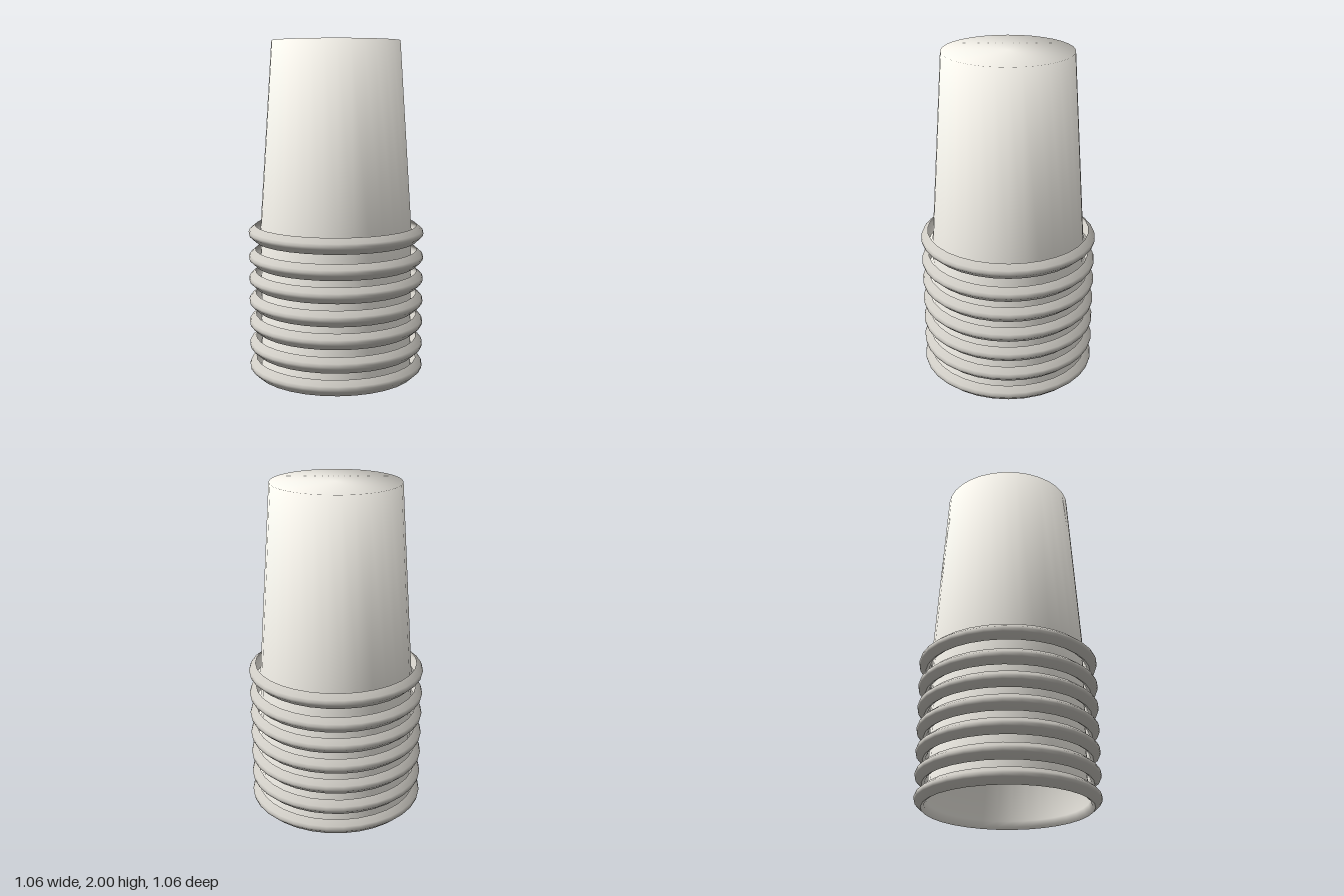
import * as THREE from 'three';

const TOP = 1.185, TOP_RADIUS = 0.38;

const lathe = (points) =>
  new THREE.LatheGeometry(points.map(([r, y]) => new THREE.Vector2(r, y)), 32);

// Flared base edge, tapered wall and flat top, with normals that blend softly over the top edge
function cupWallGeometry() {
  const geometry = lathe([[0.487, 0], [0.468, 0.012], [0.458, 0.045], [TOP_RADIUS, TOP], [0, TOP]]);
  const { position, normal } = geometry.attributes;
  for (let i = 0; i < position.count; i++) {
    if (position.getY(i) < TOP - 0.001) continue;
    const s = Math.SQRT1_2 / TOP_RADIUS;
    normal.setXYZ(i, position.getX(i) * s, Math.SQRT1_2, position.getZ(i) * s);
  }
  return geometry;
}

// Stack of upside-down paper cups, each a thin shell with a rolled rim
export function createModel() {
  const model = new THREE.Group();
  model.name = 'cupStack';
  const wallMaterial = new THREE.MeshStandardMaterial({ color: 0xf6f3eb, side: THREE.DoubleSide });
  const rimMaterial = new THREE.MeshStandardMaterial({ color: 0xcecbc4, side: THREE.DoubleSide });

  const wallGeometry = cupWallGeometry();
  const rimGeometry = lathe([[0.487, 0], [0.524, 0.034], [0.528, 0.05], [0.522, 0.066], [0.487, 0.095]]);

  // Nested cups, bottom to top
  [0, 0.133, 0.27, 0.402, 0.535, 0.667, 0.815].forEach((y, i) => {
    const cup = new THREE.Group();
    cup.name = `cup${i + 1}`;
    cup.position.y = y;
    const wall = new THREE.Mesh(wallGeometry, wallMaterial);
    wall.name = 'cupWall';
    const rim = new THREE.Mesh(rimGeometry, rimMaterial);
    rim.name = 'rolledRim';
    cup.add(wall, rim);
    model.add(cup);
  });

  return model;
}
